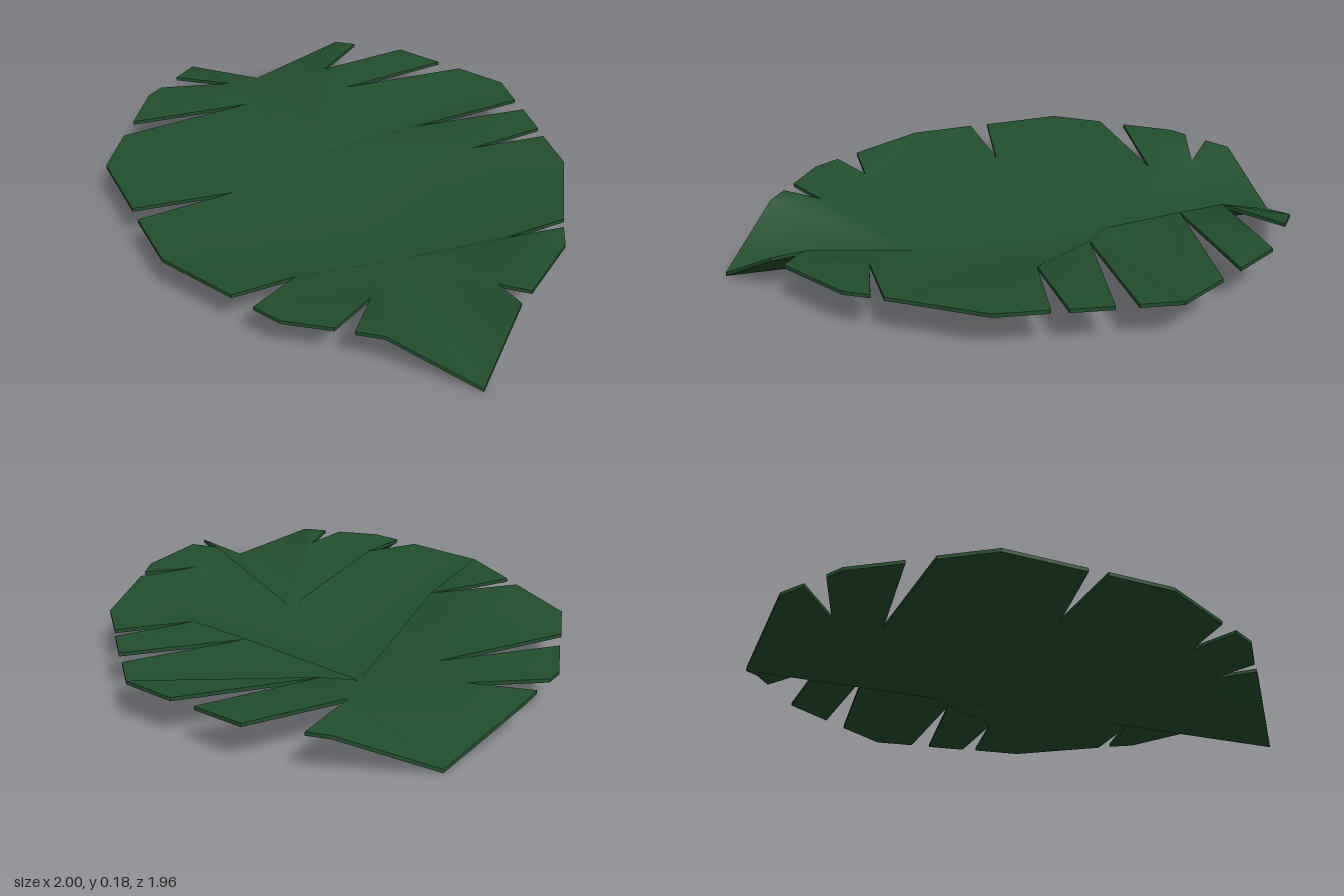
import * as THREE from 'three';
import { mergeVertices } from 'three/addons/utils/BufferGeometryUtils.js';

const RIM = 0.163, THICK = 0.015;

// Midrib: low fold line from the stem end to the tip
const stem = [-0.8, -0.68], ribA = [-0.235, -0.2], ribB = [0.38, 0.325], tip = [0.955, 0.81];
const midrib = [stem, ribA, ribB, tip];

// Each lobe starts at a joint (a point creased to the midrib), followed by its
// free outer points. Both halves run counter-clockwise seen from above.
const frontHalf = {
  ribs: [ribA, ribB], split: 4, end: tip,
  lobes: [
    [stem, [-0.97, -0.39], [-0.98, -0.27]],
    [[-0.735, -0.332], [-0.99, -0.16], [-1, -0.08], [-0.93, 0.14]],
    [[-0.57, -0.21], [-0.9, 0.25], [-0.83, 0.47], [-0.56, 0.67]],
    [[-0.27, 0.4], [-0.5, 0.72]],
    [[-0.28, 0.88], [0.05, 0.94]],
    [[0.2, 0.75]],
    [[0.15, 0.96], [0.27, 0.98], [0.45, 0.93]],
    [[0.49, 0.73], [0.52, 0.915]],
    [[0.62, 0.89]],
  ],
};
const backHalf = {
  ribs: [ribB, ribA], split: 5, end: stem,
  lobes: [
    [tip],
    [[0.97, 0.52]],
    [[0.86, 0.46], [0.98, 0.44], [1, 0.13], [0.96, 0.03]],
    [[0.79, 0.19]],
    [[0.945, -0.02], [0.82, -0.4], [0.68, -0.55]],
    [[0.45, -0.33], [0.64, -0.6], [0.53, -0.72]],
    [[0.17, -0.38], [0.47, -0.78]],
    [[0.36, -0.9], [0.14, -0.935]],
    [[-0.25, -0.54], [0.03, -0.95], [-0.18, -0.98]],
    [[-0.415, -0.645], [-0.4, -0.93], [-0.49, -0.91]],
  ],
};

// Midrib points lie on the ground, all others at rim height
const lift = (p, dy) => [p[0], (midrib.includes(p) ? 0 : RIM) + dy, p[1]];

function buildHalf({ lobes, ribs, split, end }, top, under, edge) {
  const slab = (a, b, c) => {
    top.push(...[a, b, c].flatMap((p) => lift(p, THICK)));
    under.push(...[a, c, b].flatMap((p) => lift(p, 0)));
  };
  const joints = [...lobes.map((lobe) => lobe[0]), end];

  lobes.forEach((lobe, i) => {
    const ring = [...lobe, joints[i + 1]];
    // Thin outer wall
    for (let k = 0; k < ring.length - 1; k++) {
      const a = ring[k], b = ring[k + 1];
      edge.push(...lift(a, 0), ...lift(b, 0), ...lift(b, THICK));
      edge.push(...lift(a, 0), ...lift(b, THICK), ...lift(a, THICK));
    }
    // Lobe fanned from its notch, so only one facet dips to a low end
    const fan = lobe[0] === stem ? [ring.at(-1), ...lobe] : ring;
    for (let k = 1; k < fan.length - 1; k++) slab(fan[0], fan[k], fan[k + 1]);
    // Sloping web down to the midrib
    slab(joints[i], joints[i + 1], i < split ? ribs[0] : ribs[1]);
  });
  slab(joints[split], ribs[1], ribs[0]);
}

function surface(positions, smooth) {
  const geometry = new THREE.BufferGeometry();
  geometry.setAttribute('position', new THREE.Float32BufferAttribute(positions, 3));
  const result = smooth ? mergeVertices(geometry) : geometry;
  result.computeVertexNormals();
  return result;
}

export function createModel() {
  const model = new THREE.Group();
  model.name = 'leaf';
  const green = new THREE.MeshStandardMaterial({ color: 0x224e2c });
  const top = [], under = [], edge = [];
  for (const half of [frontHalf, backHalf]) buildHalf(half, top, under, edge);

  const parts = [['leafTop', top, true], ['leafUnderside', under, true], ['leafEdge', edge, false]];
  for (const [name, positions, smooth] of parts) {
    const mesh = new THREE.Mesh(surface(positions, smooth), green);
    mesh.name = name;
    model.add(mesh);
  }
  return model;
}
